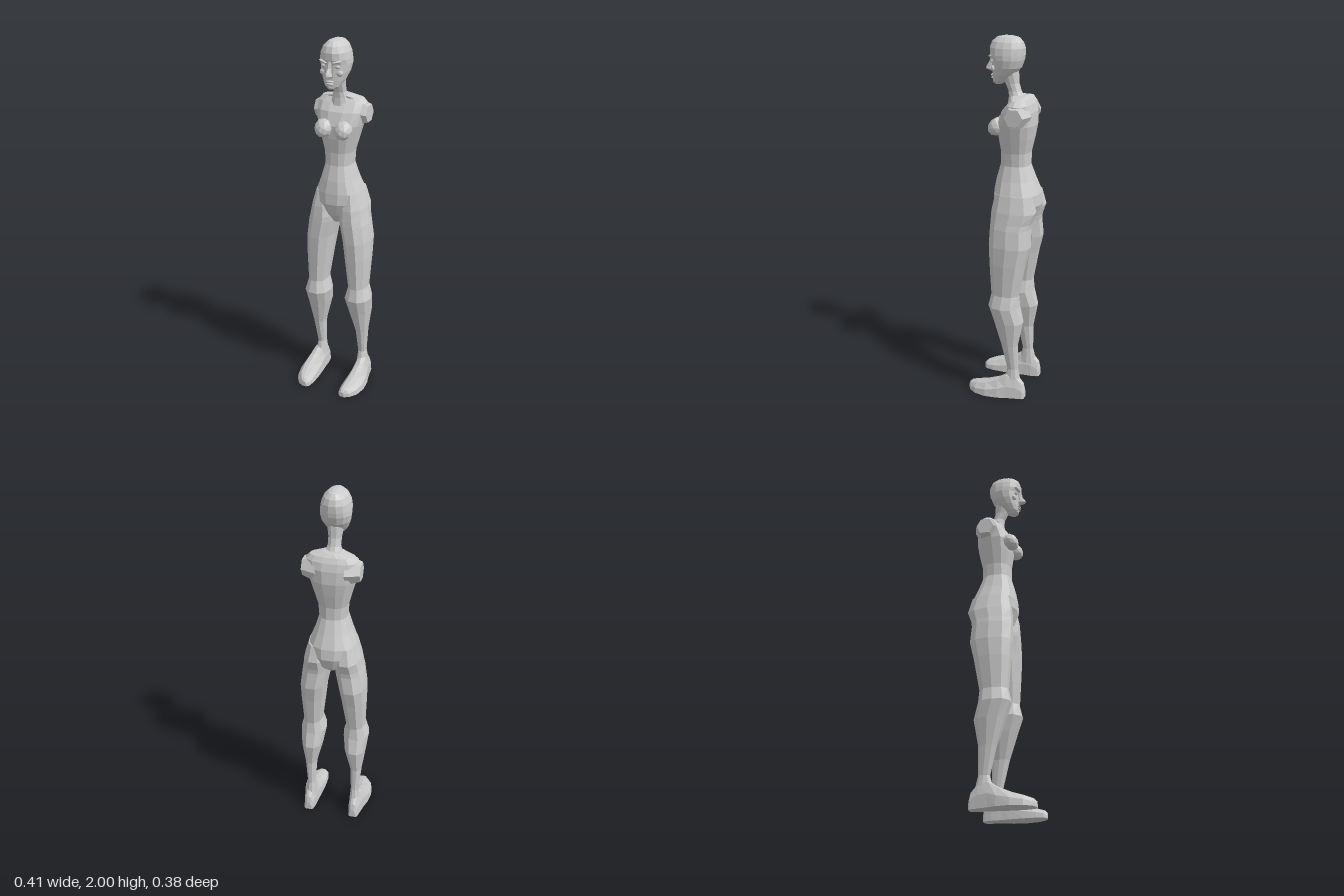
import * as THREE from 'three';

const material = new THREE.MeshStandardMaterial({ color: 0xcccccc, flatShading: true });

// Skin a list of equal-length point rings and close both ends
function skin(rings) {
  const pos = [], n = rings[0].length;
  const tri = (...ps) => ps.forEach(p => pos.push(p.x, p.y, p.z));
  const centre = r => r.reduce((s, p) => s.add(p), new THREE.Vector3()).divideScalar(n);
  const first = rings[0], last = rings[rings.length - 1];
  const c0 = centre(first), c1 = centre(last);
  for (let j = 0; j < n; j++) {
    const k = (j + 1) % n;
    for (let i = 0; i < rings.length - 1; i++) {
      const a = rings[i], b = rings[i + 1];
      tri(a[j], b[j], a[k]);
      tri(a[k], b[j], b[k]);
    }
    tri(c0, first[j], first[k]);
    tri(c1, last[k], last[j]);
  }
  const g = new THREE.BufferGeometry();
  g.setAttribute('position', new THREE.Float32BufferAttribute(pos, 3));
  g.computeVertexNormals();
  return g;
}

const spow = (v, e) => Math.sign(v) * Math.pow(Math.abs(v), e);

// Upright body section: [y, xMin, xMax, zBack, zFront], power < 1 is boxier
function section([y, x0, x1, z0, z1], n, power) {
  return Array.from({ length: n }, (_, i) => {
    const a = i / n * Math.PI * 2;
    return new THREE.Vector3(
      (x0 + x1) / 2 + (x1 - x0) / 2 * spow(Math.cos(a), power), y,
      (z0 + z1) / 2 + (z1 - z0) / 2 * spow(Math.sin(a), power));
  });
}
const limb = (rows, n = 10, power = 0.9) => skin(rows.map(r => section(r, n, power)));
const centred = rows => rows.map(([y, w, z0, z1]) => [y, -w, w, z0, z1]);
const mirrored = (s, x0, x1) => s > 0 ? [x0, x1] : [-x1, -x0];

// Flat-soled foot section: [z, xMin, xMax, height]
function footSection([z, x0, x1, h], s) {
  const [l, r] = mirrored(s, x0, x1), m = (l + r) / 2, w = (r - l) / 2;
  return [[1, 0], [0.93, 0.5], [0.5, 0.93], [0, 1], [-0.5, 0.93], [-0.93, 0.5], [-1, 0]]
    .map(([u, v]) => new THREE.Vector3(m + u * w, v * h, z));
}

export function createModel() {
  const model = new THREE.Group();
  const add = (name, geometry, x = 0, y = 0, z = 0) => {
    const mesh = new THREE.Mesh(geometry, material);
    mesh.name = name;
    mesh.position.set(x, y, z);
    model.add(mesh);
    return mesh;
  };
  const blob = (name, r, detail, scale, p) =>
    add(name, new THREE.IcosahedronGeometry(r, detail).scale(...scale), ...p);

  // Torso from crotch to collar
  add('torso', limb(centred([
    [1.0, 0.025, -0.10, 0.015], [1.05, 0.065, -0.165, 0.05], [1.12, 0.115, -0.19, 0.074],
    [1.18, 0.125, -0.183, 0.07], [1.25, 0.098, -0.155, 0.058], [1.33, 0.075, -0.125, 0.036],
    [1.40, 0.080, -0.125, 0.034], [1.48, 0.102, -0.143, 0.045], [1.55, 0.122, -0.155, 0.05],
    [1.62, 0.135, -0.152, 0.022], [1.66, 0.137, -0.14, -0.012], [1.685, 0.115, -0.125, -0.035],
    [1.70, 0.045, -0.11, -0.02],
  ]), 14, 0.82));

  // Neck leaning forward into the skull
  add('neck', limb(centred([
    [1.64, 0.06, -0.11, 0.0], [1.69, 0.043, -0.088, -0.006], [1.72, 0.034, -0.07, -0.004],
    [1.76, 0.035, -0.058, 0.015], [1.82, 0.045, -0.055, 0.04],
  ])));

  // Head
  add('head', limb(centred([
    [1.752, 0.024, 0.032, 0.07], [1.768, 0.04, 0.01, 0.082], [1.80, 0.058, -0.035, 0.084],
    [1.84, 0.073, -0.07, 0.084], [1.88, 0.08, -0.085, 0.084], [1.905, 0.079, -0.089, 0.096],
    [1.94, 0.073, -0.09, 0.097], [1.97, 0.059, -0.08, 0.085], [1.992, 0.035, -0.058, 0.06],
    [2.0, 0.012, -0.025, 0.025],
  ]), 14, 0.9));

  // Face
  add('nose', limb(centred([
    [1.817, 0.01, 0.07, 0.1], [1.827, 0.018, 0.07, 0.124], [1.838, 0.014, 0.07, 0.122],
    [1.865, 0.009, 0.07, 0.104], [1.90, 0.011, 0.07, 0.097],
  ]), 8));
  blob('upperLip', 0.024, 1, [1, 0.28, 0.55], [0, 1.796, 0.082]);
  blob('lowerLip', 0.021, 1, [1, 0.34, 0.55], [0, 1.783, 0.081]);
  blob('chin', 0.02, 1, [1, 0.7, 0.7], [0, 1.765, 0.07]);

  for (const s of [1, -1]) {
    const side = s > 0 ? 'left' : 'right';
    const rows = list => list.map(([y, x0, x1, z0, z1]) => [y, ...mirrored(s, x0, x1), z0, z1]);

    blob(side + 'Eye', 0.017, 1, [1, 0.6, 0.6], [s * 0.036, 1.872, 0.072]);
    const brow = blob(side + 'Brow', 0.026, 1, [1, 0.25, 0.45], [s * 0.038, 1.897, 0.083]);
    brow.rotation.set(0, s * 0.4, s * 0.2);
    blob(side + 'Cheek', 0.022, 1, [1, 0.8, 0.6], [s * 0.043, 1.838, 0.064]);

    // Armless shoulder with a flat six-sided end
    const shoulder = new THREE.CylinderGeometry(0.05, 0.075, 0.075, 6);
    shoulder.rotateZ(-s * Math.PI / 2);
    add(side + 'Shoulder', shoulder, s * 0.113, 1.607, -0.08);

    // Breast, drooping slightly to a forward point
    const breast = new THREE.IcosahedronGeometry(0.049, 1);
    const p = breast.attributes.position;
    for (let i = 0; i < p.count; i++)
      p.setY(i, p.getY(i) - Math.max(0, p.getZ(i)) * 0.25);
    breast.computeVertexNormals();
    add(side + 'Breast', breast, s * 0.056, 1.537, 0.043);

    // Leg from ankle to hip
    add(side + 'Leg', limb(rows([
      [0.08, 0.1, 0.165, -0.125, -0.02], [0.17, 0.108, 0.153, -0.105, -0.044],
      [0.32, 0.1, 0.167, -0.105, -0.01], [0.46, 0.065, 0.187, -0.132, 0.035],
      [0.55, 0.05, 0.197, -0.11, 0.065], [0.62, 0.07, 0.176, -0.105, 0.05],
      [0.80, 0.046, 0.184, -0.14, 0.062], [0.90, 0.033, 0.183, -0.165, 0.068],
      [1.0, 0.012, 0.171, -0.16, 0.066], [1.03, 0.01, 0.164, -0.165, 0.065],
      [1.09, 0.015, 0.153, -0.187, 0.062], [1.18, 0.03, 0.127, -0.165, 0.045],
    ])));

    // Foot from toe to heel
    add(side + 'Foot', skin([
      [0.19, 0.108, 0.135, 0.03], [0.175, 0.094, 0.162, 0.044], [0.135, 0.087, 0.19, 0.058],
      [0.07, 0.087, 0.203, 0.078], [0.0, 0.092, 0.196, 0.108], [-0.045, 0.097, 0.182, 0.14],
      [-0.10, 0.1, 0.17, 0.135], [-0.138, 0.108, 0.162, 0.09], [-0.148, 0.116, 0.154, 0.05],
    ].map(r => footSection(r, s))));
  }
  return model;
}
